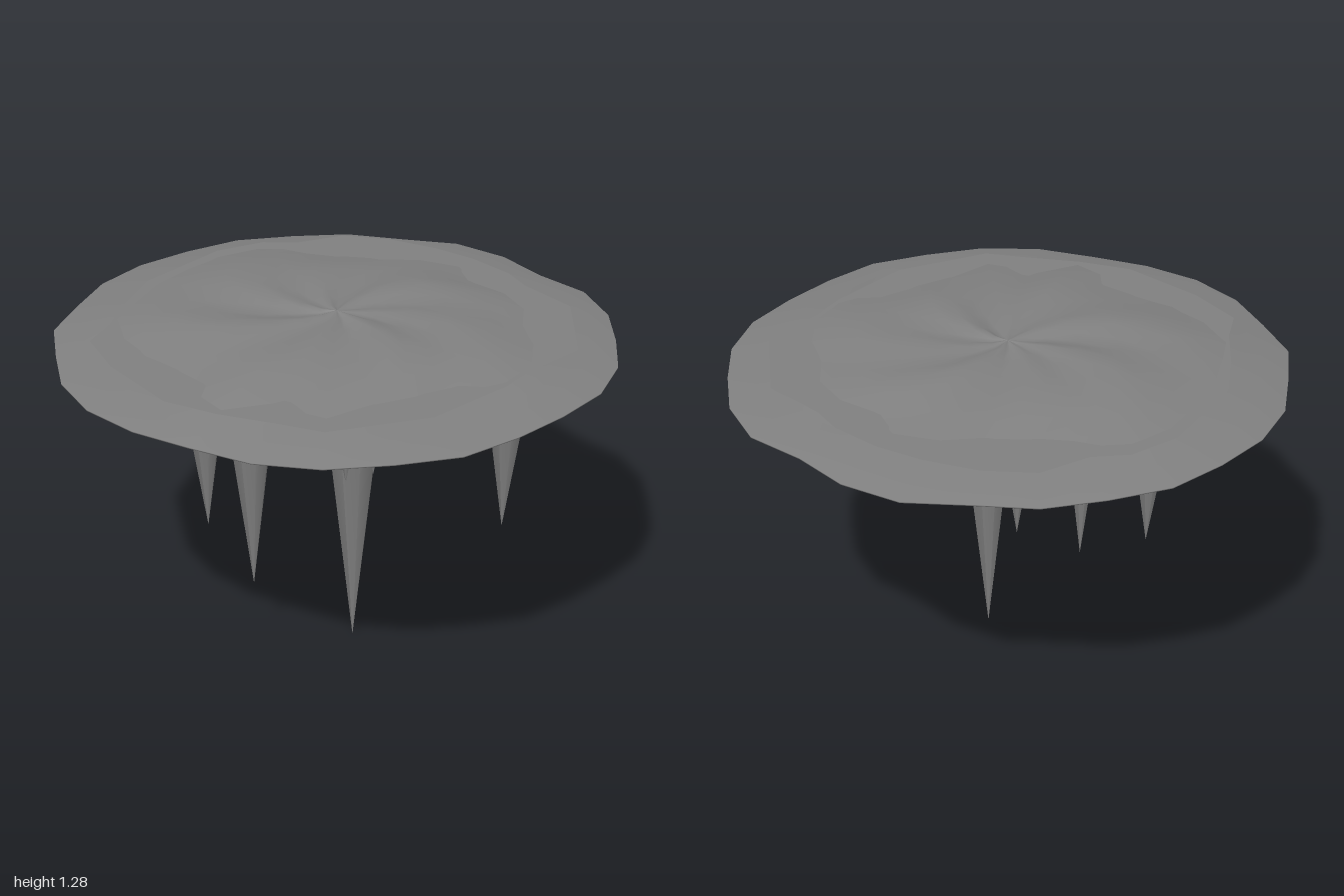
import * as THREE from 'three';

const material = new THREE.MeshStandardMaterial({ color: 0x808080, side: THREE.DoubleSide });

// Rim radius for each of the 28 corners, from +x towards +z
const RIM = [1, 0.98, 0.985, 1.01, 1, 1.015, 1.01, 0.985, 1, 1.015, 1.01, 0.99, 1.01, 0.985,
  1, 1, 0.99, 1, 0.98, 0.985, 0.965, 1, 0.985, 0.95, 1, 1, 0.985, 1];

// How far out the raised middle reaches at each corner
const REACH = [0.75, 0.76, 0.65, 0.62, 0.66, 0.75, 0.64, 0.84, 0.66, 0.65, 0.7, 0.76, 0.79, 0.76,
  0.75, 0.75, 0.79, 0.78, 0.68, 0.61, 0.62, 0.67, 0.7, 0.62, 0.66, 0.68, 0.66, 0.7];

// Rows of the slab, centre top to rim to centre bottom: radius, height, swirl fold, reach lift
const ROWS = [[0, 1.268, 0, 0], [0.06, 1.262, 0.007, 0], [0.14, 1.262, 0.011, 0], [0.25, 1.263, 0.013, 0],
  [0.4, 1.262, 0.013, 0.02], [0.55, 1.247, 0.008, 0.1], [0.68, 1.222, 0, 0.17], [0.8, 1.205, 0, 0.1],
  [0.9, 1.189, 0, 0.03], [1, 1.172, 0, 0], [1, 1.168, 0, 0], [0.8, 1.163, 0, 0.06],
  [0.5, 1.176, 0.005, 0], [0.2, 1.163, 0.004, 0], [0, 1.105, 0, 0]];

// Outline of the flat sheet as x, z
const SHEET = [[-0.2, -0.8], [0, -0.8], [0.17, -0.77], [0.35, -0.7], [0.45, -0.62], [0.67, -0.52],
  [0.84, -0.18], [0.76, 0.05], [0.74, 0.2], [0.63, 0.52], [0.37, 0.78], [0.2, 0.8], [0, 0.83],
  [-0.2, 0.83], [-0.5, 0.69], [-0.68, 0.55], [-0.7, 0.4], [-0.76, 0.2], [-0.8, 0], [-0.73, -0.38],
  [-0.62, -0.54], [-0.5, -0.6], [-0.38, -0.75]];

// Icicles: x, z, tip height, radius where they leave the slab
const ICICLES = [[0.11, 0.09, 0, 0.13], [-0.19, 0.3, 0.25, 0.115], [-0.31, 0.41, 0.52, 0.095],
  [0.68, 0.05, 0.6, 0.085], [-0.57, -0.14, 0.65, 0.083], [0.16, 0.24, 0.73, 0.085],
  [-0.18, -0.4, 0.75, 0.07], [0.36, 0.42, 0.9, 0.06]];

// Rippled slab with folds that swirl out of the centre
function slabGeometry() {
  const n = RIM.length, positions = [], index = [];
  ROWS.forEach(([r, y, fold, lift]) => {
    for (let j = 0; j < n; j++) {
      const a = (j / n) * Math.PI * 2;
      const radius = r * (1 + (RIM[j] - 1) * r);
      const swirl = 0.7 * Math.sin(7 * a - 6 * r) + 0.4 * Math.sin(4 * a - 3 * r + 1);
      const height = y + fold * swirl + lift * (REACH[j] - 0.69);
      positions.push(radius * Math.cos(a), height, radius * Math.sin(a) + 0.008);
    }
  });
  for (let i = 0; i < ROWS.length - 1; i++) {
    for (let j = 0; j < n; j++) {
      const k = (j + 1) % n, a = i * n, b = a + n;
      if (ROWS[i + 1][0] > 0) index.push(a + j, b + k, b + j);
      if (ROWS[i][0] > 0) index.push(a + j, a + k, b + k);
    }
  }
  const geometry = new THREE.BufferGeometry();
  geometry.setAttribute('position', new THREE.Float32BufferAttribute(positions, 3));
  geometry.setIndex(index);
  geometry.computeVertexNormals();
  return geometry;
}

export function createModel() {
  const group = new THREE.Group();
  group.name = 'icicleSlab';
  const add = (name, geometry) => {
    const mesh = new THREE.Mesh(geometry, material);
    mesh.name = name;
    group.add(mesh);
    return mesh;
  };

  add('rippledSlab', slabGeometry());

  // Thin flat sheet that shows between the ripples
  const outline = new THREE.Shape(SHEET.map(([x, z]) => new THREE.Vector2(x, -z)));
  add('flatSheet', new THREE.ShapeGeometry(outline).rotateX(-Math.PI / 2)).position.y = 1.22;

  // Hanging icicles
  const top = 1.195;
  ICICLES.forEach(([x, z, tip, radius]) => {
    const height = top - tip;
    const cone = new THREE.ConeGeometry(radius * height / (1.17 - tip), height, 8, 1, true);
    cone.rotateX(Math.PI);
    add('icicle', cone).position.set(x, tip + height / 2, z);
  });

  return group;
}
